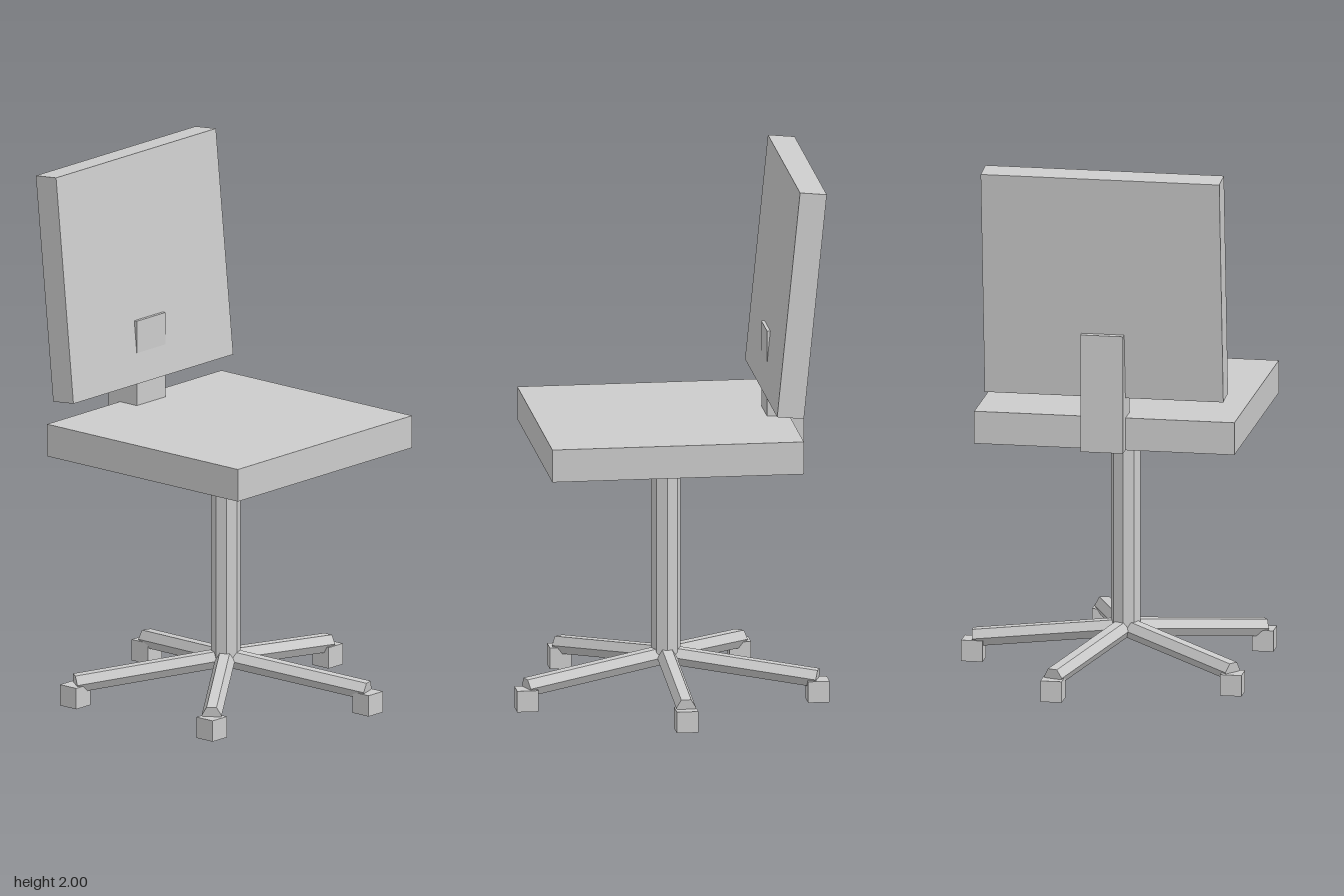
import * as THREE from 'three';

export function createModel() {
  const model = new THREE.Group();
  model.name = 'officeChair';

  const grey = new THREE.MeshStandardMaterial({ color: 0xcccccc });
  grey.name = 'light grey';
  grey.flatShading = true;

  const axisX = -0.056; // the column stands slightly off centre

  function add(name, geometry, x, y, z, parent = model) {
    const mesh = new THREE.Mesh(geometry, grey);
    mesh.name = name;
    mesh.position.set(x, y, z);
    parent.add(mesh);
    return mesh;
  }

  // Seat, tilted backrest and the bracket joining them
  add('seat', new THREE.BoxGeometry(0.976, 0.123, 0.937), axisX, 1.001, 0.019);
  const back = add('backrest', new THREE.BoxGeometry(0.895, 0.855, 0.1), axisX, 1.57, -0.448);
  back.rotation.x = -0.1;
  add('backBracket', new THREE.BoxGeometry(0.16, 0.446, 0.138), axisX, 1.163, -0.436);

  // Octagonal column
  add('column', new THREE.CylinderGeometry(0.055, 0.055, 0.79, 8), axisX, 0.545, 0);

  // Five sloping hexagonal legs, each ending on a square foot
  const reach = 0.57, hubY = 0.15, endY = 0.085;
  const legLength = Math.hypot(reach, hubY - endY);
  const slope = Math.atan2(endY - hubY, reach);
  const legGeometry = new THREE.CylinderGeometry(0.037, 0.037, legLength, 6);
  const footGeometry = new THREE.BoxGeometry(0.08, 0.08, 0.08);

  for (let i = 0; i < 5; i++) {
    const angle = (i * Math.PI * 2) / 5;
    const arm = new THREE.Group();
    arm.name = 'legArm';
    arm.position.x = axisX;
    arm.rotation.y = angle;
    model.add(arm);
    const leg = add('leg', legGeometry, reach / 2, (hubY + endY) / 2, 0, arm);
    leg.rotation.z = slope - Math.PI / 2;

    // Feet stay square to the seat
    add('foot', footGeometry, axisX + Math.cos(angle) * reach, 0.04, -Math.sin(angle) * reach);
  }

  return model;
}
